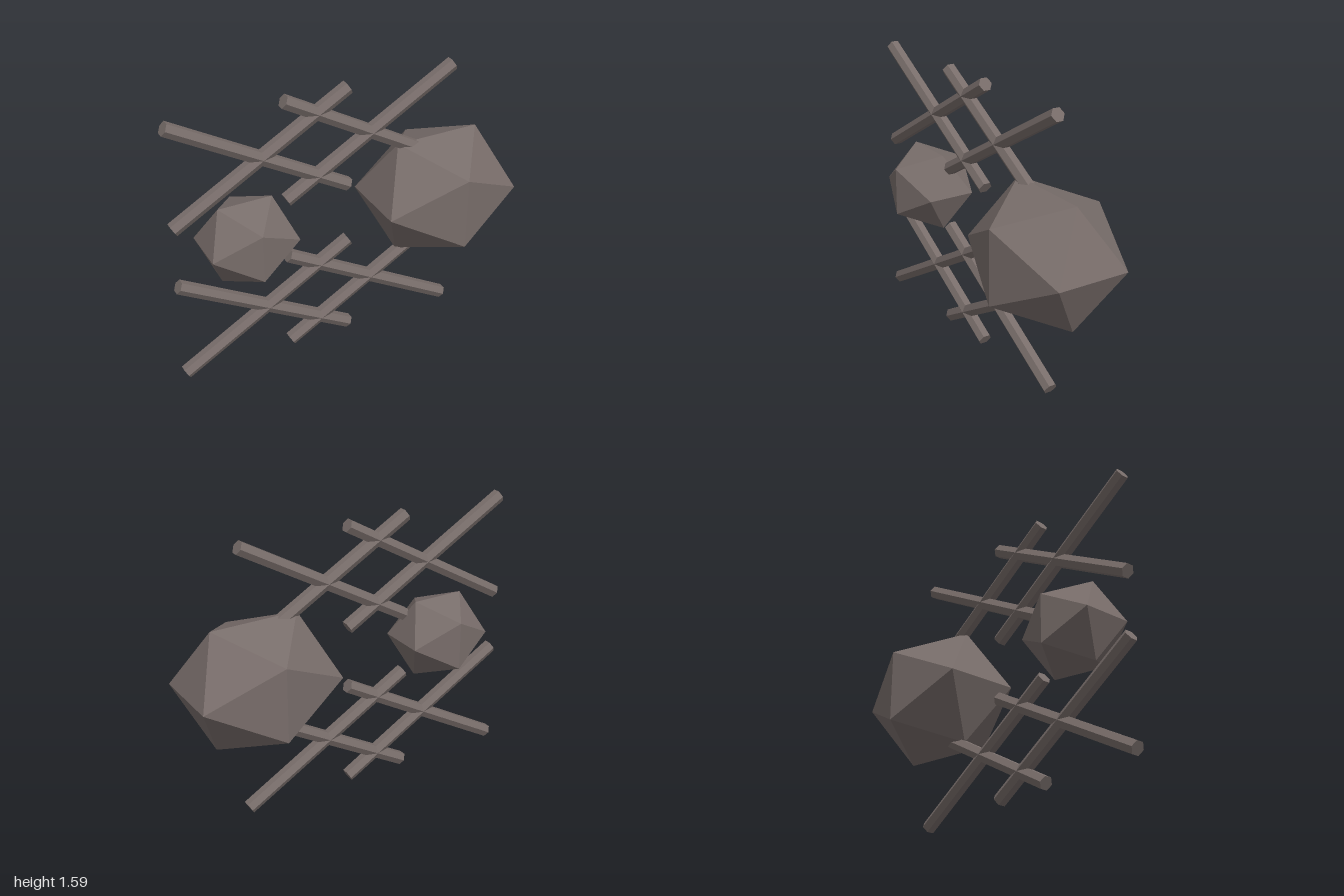
import * as THREE from 'three';

export function createModel() {
  const model = new THREE.Group();
  model.name = 'latticeWithStones';
  const stone = new THREE.MeshStandardMaterial({ color: 0x786d6a });
  stone.name = 'warm grey stone';
  stone.flatShading = true;

  // Faceted stones, stretched a little along x
  const addStone = (name, x, y, rx, r) => {
    const mesh = new THREE.Mesh(new THREE.IcosahedronGeometry(1, 0), stone);
    mesh.name = name;
    mesh.scale.set(rx, r, r);
    mesh.position.set(x, y, 0);
    model.add(mesh);
  };
  addStone('largeStone', 0.592, 0.797, 0.479, 0.403);
  addStone('smallStone', -0.58, 0.797, 0.294, 0.266);

  // Hexagonal rods crossing in pairs, 30 degrees from level
  const rod = new THREE.CylinderGeometry(0.04, 0.04, 1.168, 6);
  for (const [level, y] of [['lower', 0.323], ['upper', 1.265]]) {
    const lattice = new THREE.Group();
    lattice.name = level + 'Lattice';
    for (const x of [-0.478, 0.163]) {
      for (const side of [-1, 1]) {
        const mesh = new THREE.Mesh(rod, stone);
        mesh.name = side < 0 ? 'risingRod' : 'fallingRod';
        mesh.position.set(x, y, 0);
        mesh.rotation.z = side * Math.PI / 3;
        lattice.add(mesh);
      }
    }
    model.add(lattice);
  }
  return model;
}
